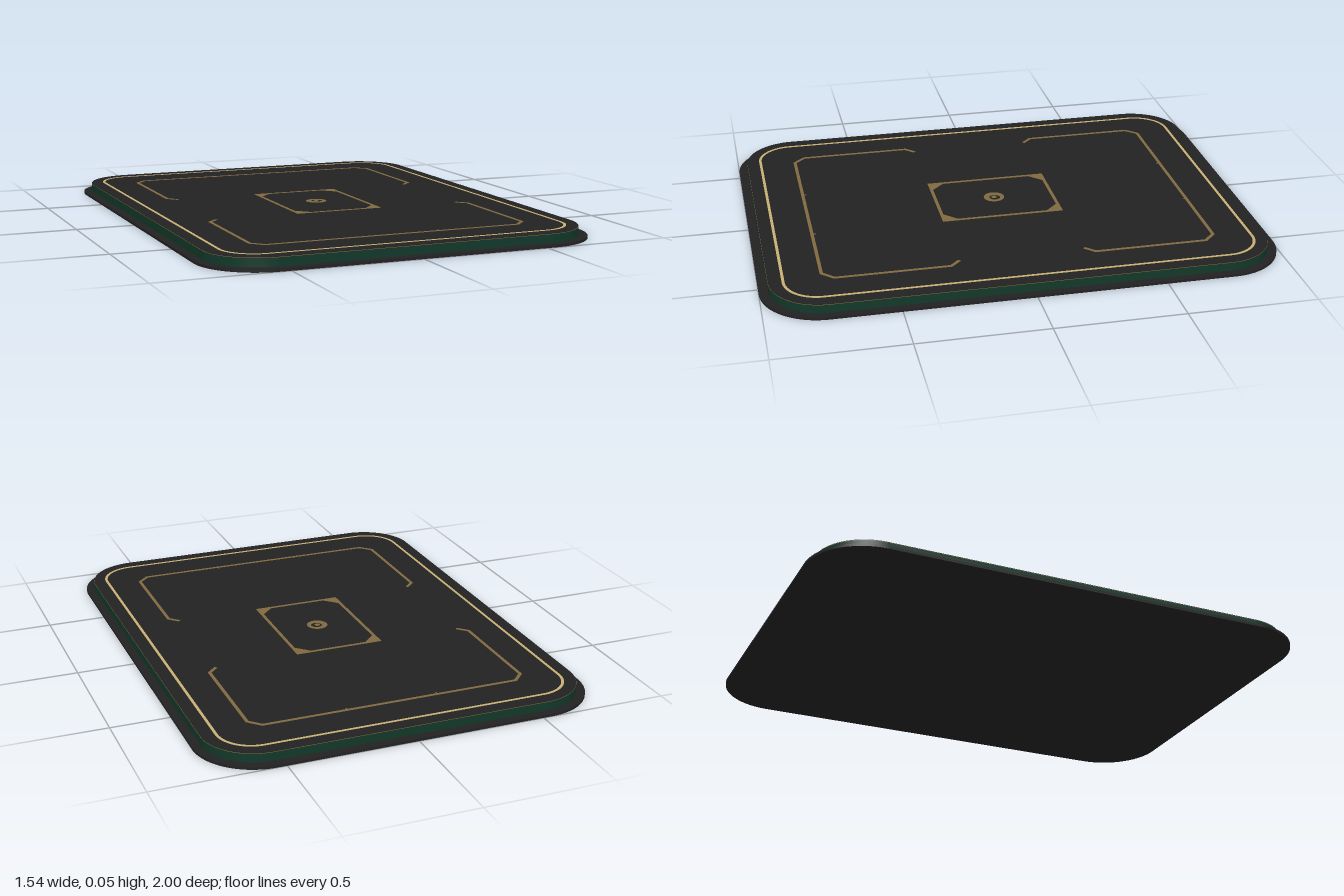
import * as THREE from 'three';

const mat = (name, color, side = THREE.FrontSide) => {
  const m = new THREE.MeshStandardMaterial({ color, side });
  m.name = name;
  return m;
};

// Rounded rectangle outline centred on the origin, w and d are half sizes
function roundedRect(w, d, r, Type = THREE.Shape) {
  const s = new Type();
  s.moveTo(w, -d + r);
  s.lineTo(w, d - r);
  s.absarc(w - r, d - r, r, 0, Math.PI / 2);
  s.absarc(-w + r, d - r, r, Math.PI / 2, Math.PI);
  s.absarc(-w + r, -d + r, r, Math.PI, Math.PI * 1.5);
  s.absarc(w - r, -d + r, r, Math.PI * 1.5, Math.PI * 2);
  return s;
}

export function createModel() {
  const charcoal = mat('charcoal', 0x222222);
  const green = mat('darkGreen', 0x12382a);
  const paleGold = mat('paleGold', 0xc8ae74);
  const oldGold = mat('oldGold', 0x80693f);
  const board = new THREE.Group();
  board.name = 'board';

  // Horizontal slab from a shape, bottom at y, height h
  function slab(name, shape, y, h, material, parent = board) {
    const geo = new THREE.ExtrudeGeometry(shape, { depth: h, bevelEnabled: false, curveSegments: 16 });
    geo.rotateX(-Math.PI / 2);
    const mesh = new THREE.Mesh(geo, material);
    mesh.position.y = y;
    mesh.name = name;
    parent.add(mesh);
    return mesh;
  }

  // Layered board
  slab('basePlate', roundedRect(0.772, 1, 0.235), 0, 0.01, charcoal);
  slab('body', roundedRect(0.74, 0.965, 0.205), 0.01, 0.0325, green);
  slab('edgeTrim', roundedRect(0.74, 0.965, 0.205), 0.0425, 0.0015, oldGold);
  slab('playingSurface', roundedRect(0.739, 0.964, 0.204), 0.044, 0.002, charcoal);

  // Bright border inlay
  const top = 0.046;
  const border = roundedRect(0.689, 0.914, 0.14);
  border.holes.push(roundedRect(0.678, 0.903, 0.129, THREE.Path));
  slab('borderInlay', border, top, 0.001, paleGold);

  // Thin straight inlay between two points on the surface
  function strip(parent, [x1, z1], [x2, z2], w) {
    const len = Math.hypot(x2 - x1, z2 - z1);
    const mesh = new THREE.Mesh(new THREE.BoxGeometry(len + w * 0.4, 0.001, w), oldGold);
    mesh.position.set((x1 + x2) / 2, top + 0.0005, (z1 + z2) / 2);
    mesh.rotation.y = -Math.atan2(z2 - z1, x2 - x1);
    mesh.name = 'inlayStrip';
    parent.add(mesh);
  }

  // Open brackets with clipped corners at each end
  const half = [[0.515, 0.245], [0.55, 0.28], [0.55, 0.72], [0.507, 0.764]];
  for (const s of [-1, 1]) {
    const bracket = new THREE.Group();
    bracket.name = s < 0 ? 'backBracket' : 'frontBracket';
    for (const m of [-1, 1]) {
      const pts = half.map(([x, z]) => [m * x, s * z]);
      for (let i = 0; i < 3; i++) strip(bracket, pts[i], pts[i + 1], 0.013);
      strip(bracket, [m * 0.18, s * 0.764], [m * 0.18, s * 0.75], 0.005);
    }
    strip(bracket, [-0.507, s * 0.764], [0.507, s * 0.764], 0.013);
    board.add(bracket);
  }

  // Centre panel with filled corners
  const panel = new THREE.Group();
  panel.name = 'centrePanel';
  const outline = new THREE.Shape([[-1, -1], [1, -1], [1, 1], [-1, 1]].map(([x, z]) => new THREE.Vector2(x * 0.18, z * 0.245)));
  const a = 0.167, b = 0.232, c = 0.05;
  outline.holes.push(new THREE.Path([
    [a, b - c], [a - c, b], [c - a, b], [-a, b - c], [-a, c - b], [c - a, -b], [a - c, -b], [a, c - b]
  ].map(([x, z]) => new THREE.Vector2(x, z))));
  slab('panelFrame', outline, top, 0.001, oldGold, panel);

  // Small round emblem
  const ring = new THREE.Shape().absarc(0, 0, 0.042, 0, Math.PI * 2);
  ring.holes.push(new THREE.Path().absarc(0.004, 0.002, 0.022, 0, Math.PI * 2));
  slab('emblemRing', ring, top, 0.001, oldGold, panel);
  slab('emblemDot', new THREE.Shape().absarc(0, 0, 0.011, 0, Math.PI * 2), top, 0.001, oldGold, panel);
  board.add(panel);

  return board;
}
